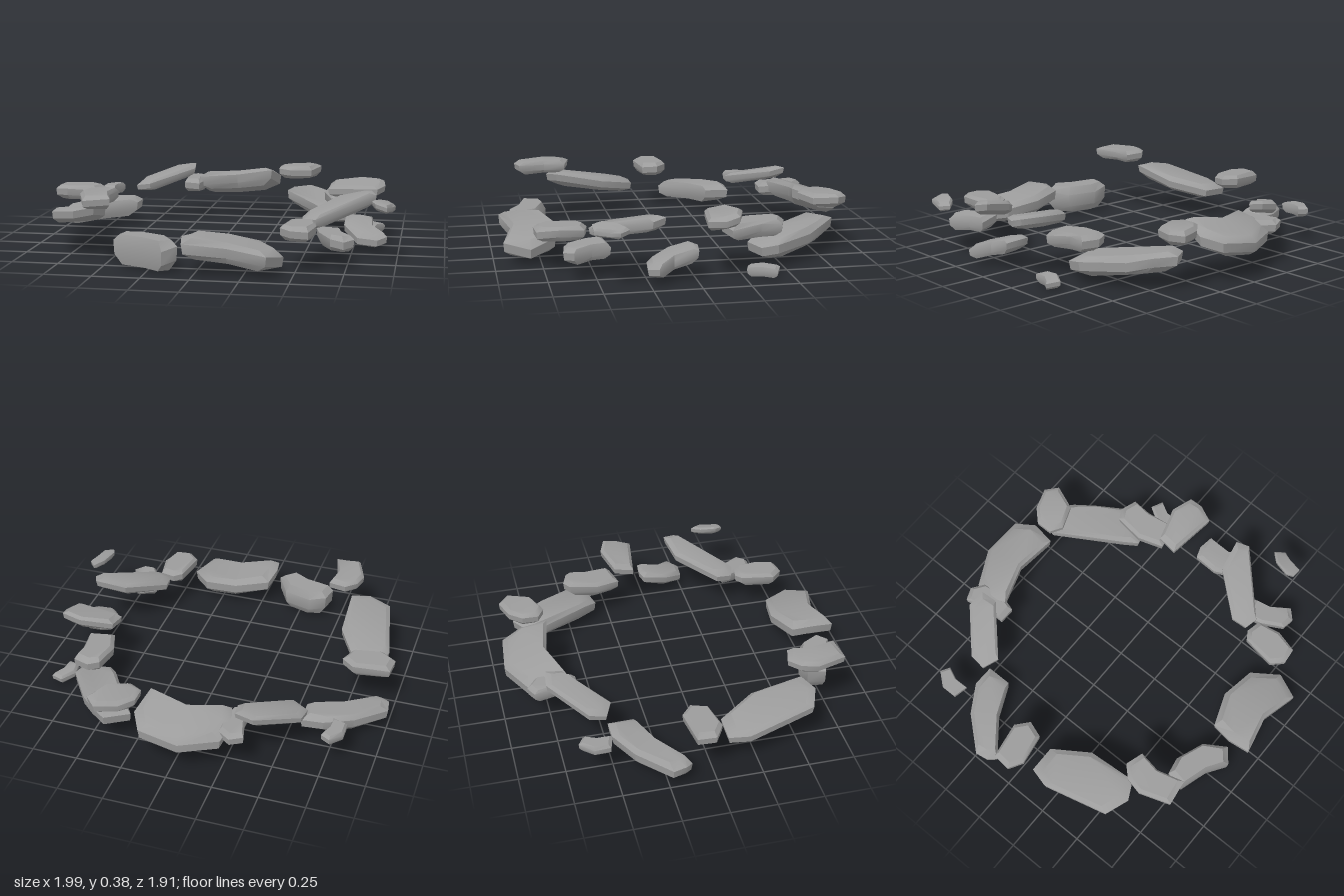
import * as THREE from 'three';
import { toCreasedNormals } from 'three/addons/utils/BufferGeometryUtils.js';

const stone = new THREE.MeshStandardMaterial({ color: 0x9c9c9c });

// Layers of every rock: [outline scale, height as a share of the thickness]
const LAYERS = [[0.74, -0.5], [0.97, -0.22], [1, 0.24], [0.8, 0.5]];

// One faceted rock: a plan outline [x, z, x, z, ...] stacked in layers along a tilted mid-plane.
// y is the mid height, t the thickness, sx and sz the slopes of the mid-plane.
function rock(name, outline, y, t, sx = 0, sz = 0) {
  const plan = [];
  for (let i = 0; i < outline.length; i += 2) plan.push(new THREE.Vector2(outline[i], -outline[i + 1]));
  if (THREE.ShapeUtils.isClockWise(plan)) plan.reverse();
  const n = plan.length;
  const box = new THREE.Box2().setFromPoints(plan);
  const c = box.getCenter(new THREE.Vector2());

  const pos = [];
  LAYERS.forEach(([scale, h], k) => plan.forEach((p, i) => {
    const dx = (p.x - c.x) * scale;
    const dz = -(p.y - c.y) * scale;
    // the side edges wander a little, the caps stay flat
    const chip = k === 1 || k === 2 ? 0.08 * Math.sin(i * 2.3 + n) : 0;
    pos.push(dx, (h + chip) * t + sx * dx + sz * dz, dz);
  }));

  const index = [];
  for (let k = 0; k < LAYERS.length - 1; k++) {
    for (let i = 0; i < n; i++) {
      const a = k * n + i, b = k * n + (i + 1) % n;
      index.push(a, b, b + n, a, b + n, a + n);
    }
  }
  const top = (LAYERS.length - 1) * n;
  for (const [a, b, d] of THREE.ShapeUtils.triangulateShape(plan, [])) {
    index.push(top + a, top + b, top + d, a, d, b);
  }

  const geometry = new THREE.BufferGeometry();
  geometry.setAttribute('position', new THREE.Float32BufferAttribute(pos, 3));
  geometry.setIndex(index);
  const mesh = new THREE.Mesh(toCreasedNormals(geometry, 0.6), stone);
  mesh.name = name;
  mesh.position.set(c.x, y, -c.y);
  return mesh;
}

export function createModel() {
  const ring = new THREE.Group();
  ring.name = 'rockRing';
  ring.add(
    // Back arc
    rock('backBoulder', [-.25, -.86, -.05, -.96, .17, -.94, .23, -.83, .19, -.68, -.03, -.72, -.25, -.65, -.28, -.75], .215, .11, .1, .3),
    rock('backSmallRock', [-.37, -.84, -.3, -.87, -.23, -.82, -.22, -.7, -.25, -.6, -.34, -.6, -.34, -.72], .21, .08),
    rock('backTiltedSlab', [-.61, -.59, -.4, -.78, -.3, -.77, -.29, -.68, -.53, -.46, -.62, -.5], .255, .065, .19, -.15),
    rock('backCapRock', [.23, -.81, .3, -.88, .42, -.92, .48, -.86, .43, -.73, .3, -.68, .23, -.72], .29, .075),
    rock('backLongRock', [.28, -.76, .4, -.85, .5, -.77, .59, -.67, .73, -.46, .72, -.37, .57, -.33, .51, -.4], .125, .105, -.05, -.1),

    // Arc on the -x side
    rock('rightLongRock', [-1, -.23, -.85, -.4, -.7, -.49, -.58, -.49, -.58, -.35, -.76, -.27, -.95, -.12, -.99, -.16], .1, .1, .03, -.08),
    rock('rightPebble', [-.97, -.1, -.77, -.13, -.7, -.07, -.73, .02, -.9, .05, -.98, 0], .255, .08),
    rock('rightTiltedSlab', [-.88, .09, -.73, .09, -.61, .29, -.6, .57, -.7, .62, -.83, .57, -.91, .2], .195, .085, .1, .16),
    rock('rightHighRock', [-.57, .5, -.47, .53, -.49, .65, -.45, .8, -.59, .82, -.65, .65, -.63, .56], .342, .072, 0, -.02),

    // Front arc
    rock('frontCurvedRock', [-.42, .68, -.32, .66, -.16, .72, -.09, .84, -.16, .9, -.27, .83, -.44, .78], .092, .16, -.04),
    rock('frontBoulder', [-.05, .71, .14, .64, .34, .67, .45, .81, .38, .95, .17, .9, -.05, .95, -.07, .83], .115, .11, -.15),
    rock('frontPebble', [.45, .55, .5, .52, .58, .54, .6, .67, .57, .79, .48, .8, .42, .74], .205, .08),

    // Arc on the +x side
    rock('leftTiltedSlab', [.5, .41, .68, .19, .85, .16, .88, .23, .58, .52, .51, .5], .26, .075, .17, -.17),
    rock('leftLowRock', [.58, .45, .7, .42, .72, .52, .79, .62, .74, .67, .67, .66, .6, .54], .14, .085, -.1),
    rock('leftSlopingRock', [.7, 0, .76, -.02, .85, -.01, .86, .12, .94, .21, .89, .26, .78, .25, .7, .13], .105, .075, -.1, -.25),
    rock('leftCapRock', [.6, -.2, .78, -.25, .9, -.21, .91, -.14, .87, -.05, .59, -.09], .3, .07, .04, -.18),
    rock('leftMiddleRock', [.57, -.48, .63, -.51, .72, -.48, .71, -.37, .74, -.21, .6, -.18, .55, -.32], .215, .09, 0, -.06),

    // Loose chips outside the ring
    rock('backChip', [.78, -.36, .83, -.44, .9, -.41, .86, -.34, .85, -.26, .79, -.28], .031, .05, -.1),
    rock('frontChip', [.87, .5, .9, .41, .95, .36, .99, .41, .97, .46, .95, .54, .89, .54], .305, .045, -.3),
    rock('sideChip', [-.84, -.61, -.78, -.68, -.73, -.65, -.76, -.58, -.76, -.5, -.84, -.52], .18, .06),
  );
  return ring;
}
